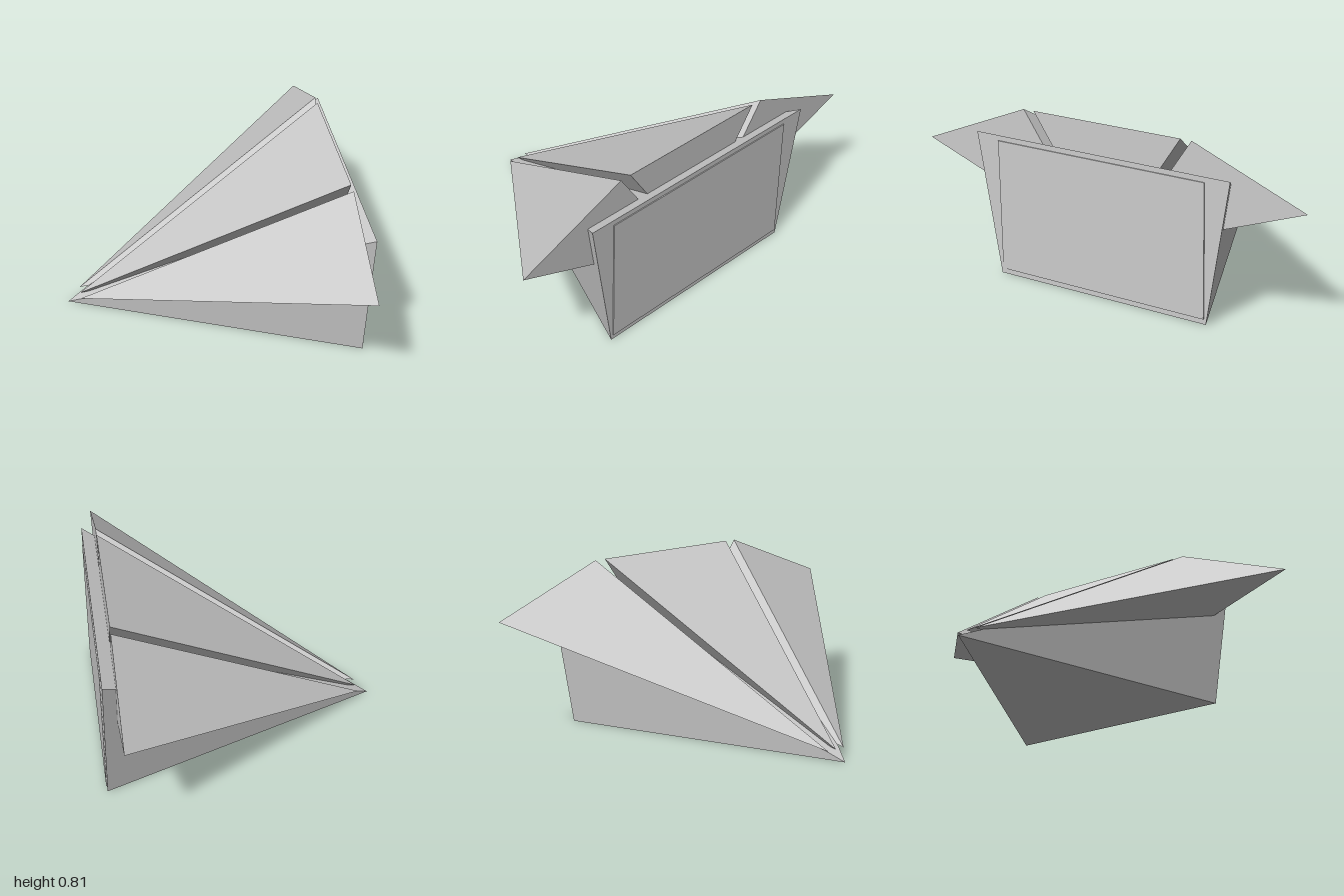
import * as THREE from 'three';
import { ConvexGeometry } from 'three/addons/geometries/ConvexGeometry.js';

export function createModel() {
  const group = new THREE.Group();
  const material = new THREE.MeshStandardMaterial({ color: 0xcccccc, flatShading: true });

  const add = (name, geometry) => {
    const mesh = new THREE.Mesh(geometry, material);
    mesh.name = name;
    group.add(mesh);
    return mesh;
  };

  // Pyramid from a nose point to a flat end at x, whose corners are [y, z]
  const pyramid = (name, nose, x, corners) => add(name, new ConvexGeometry([
    new THREE.Vector3(...nose),
    ...corners.map(([y, z]) => new THREE.Vector3(x, y, z)),
  ]));

  // Hull: trapezoid end, wider at the top
  pyramid('hull', [-0.677, 0, 0], 0.672, [[0, 0.555], [0, -0.555], [0.68, -0.668], [0.68, 0.668]]);

  // Raised central ridge, narrowing downwards into the hull
  pyramid('canopy', [-0.617, 0.046, 0], 0.61, [[0.805, 0.388], [0.805, -0.388], [0.23, 0]]);

  // Swept wings either side, separated from the canopy by a slot
  for (const side of [1, -1]) {
    pyramid(side > 0 ? 'frontWing' : 'backWing', [-0.617, 0.046, 0.048 * side], 0.61,
      [[0.805, 0.443 * side], [0.58, 1.0 * side], [0.23, 0.052 * side]]);
  }

  // Thin rectangular plate on the flat end
  add('sternPlate', new THREE.BoxGeometry(0.012, 0.63, 1.09)).position.set(0.671, 0.34, 0);

  return group;
}
